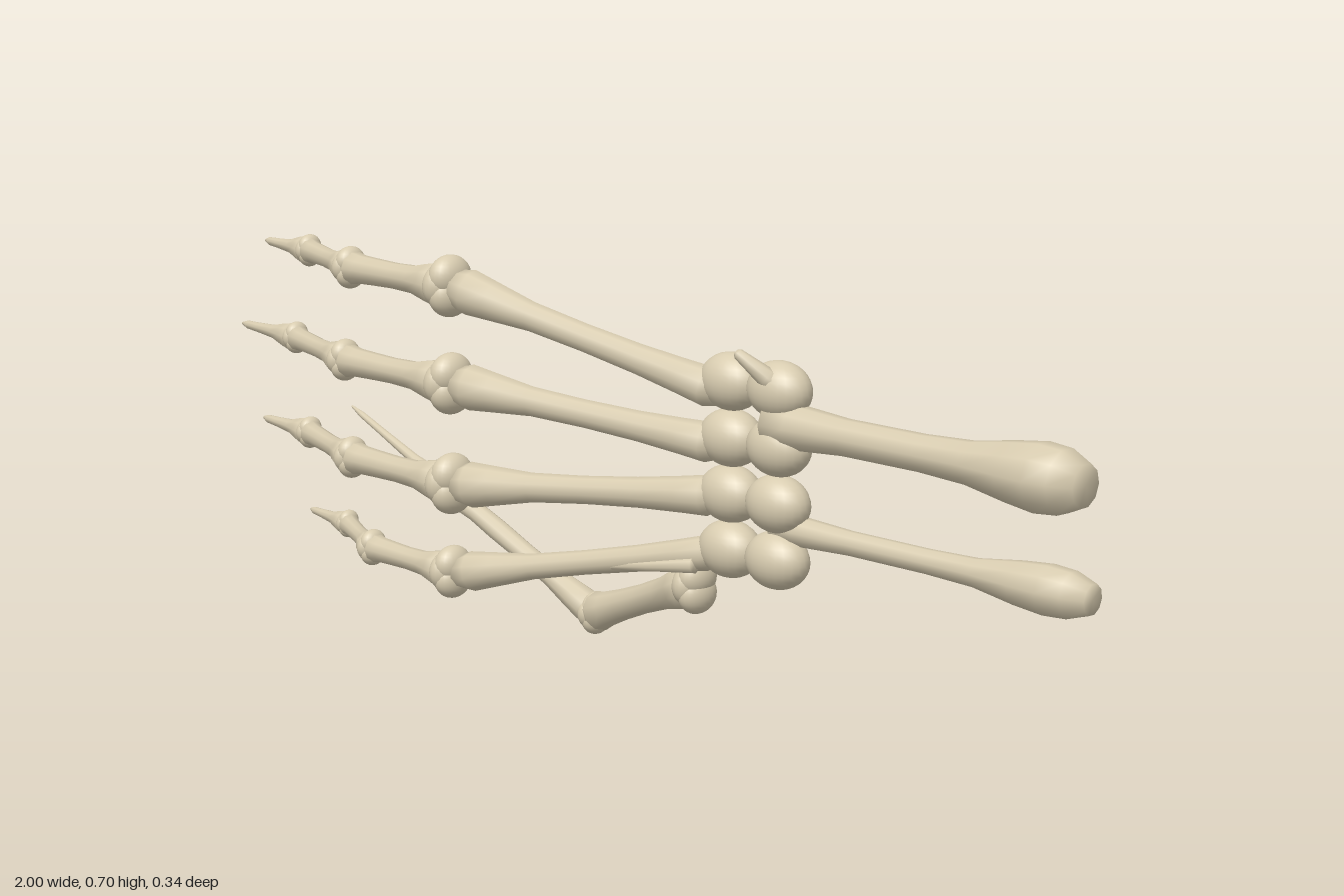
import * as THREE from 'three';

const V = (p) => new THREE.Vector3(...p);
const UP = new THREE.Vector3(0, 1, 0);

export function createModel() {
  const root = new THREE.Group();
  root.name = 'skeletonHand';
  const bone = new THREE.MeshStandardMaterial({ color: 0xd8ccb0 });
  bone.name = 'bone';

  // Lathed bone from a to b; profile is [fraction along, radius]
  function shaft(parent, name, a, b, profile, sides = 10) {
    const dir = V(b).sub(V(a));
    const len = dir.length();
    const pts = profile.map(([t, r]) => new THREE.Vector2(r, t * len));
    pts.unshift(new THREE.Vector2(0, pts[0].y));
    pts.push(new THREE.Vector2(0, pts[pts.length - 1].y));
    const mesh = new THREE.Mesh(new THREE.LatheGeometry(pts, sides), bone);
    mesh.name = name;
    mesh.position.set(...a);
    mesh.quaternion.setFromUnitVectors(UP, dir.normalize());
    parent.add(mesh);
    return mesh;
  }

  function ball(parent, name, p, r) {
    const mesh = new THREE.Mesh(new THREE.SphereGeometry(1, 24, 16), bone);
    mesh.name = name;
    mesh.position.set(...p);
    mesh.scale.set(...r);
    parent.add(mesh);
    return mesh;
  }

  // Joint: a wide middle with a rounded condyle on either side
  function joint(parent, name, [x, y, z], s) {
    const g = new THREE.Group();
    g.name = name;
    ball(g, 'jointBody', [x - s * 0.1, y, z], [s * 0.58, s * 0.8, s * 0.88]);
    for (const k of [-1, 1]) {
      ball(g, 'condyle', [x + s * 0.08, y + k * s * 0.3, z], [s * 0.55, s * 0.7, s * 0.78]);
    }
    parent.add(g);
  }

  // Long bone with flared ends, waist radius w
  const flared = (r0, w, r1) => [
    [0, r0 * 0.7], [0.05, r0], [0.14, r0 * 0.9], [0.3, w * 1.08], [0.5, w],
    [0.7, w * 1.06], [0.85, r1 * 0.86], [0.94, r1], [1, r1 * 0.75],
  ];
  const tipProfile = (r) => [
    [0, r * 0.75], [0.06, r], [0.18, r * 0.85], [0.4, r * 0.5], [0.7, r * 0.36],
    [0.9, r * 0.3], [1, r * 0.1],
  ];

  // Forearm bones, swelling toward the far end
  const forearm = (w, r) => [
    [0, w * 1.3], [0.08, w * 1.25], [0.25, w], [0.5, w], [0.65, w * 1.15],
    [0.78, r * 0.87], [0.87, r], [0.94, r * 0.93], [1, r * 0.62],
  ];
  shaft(root, 'radius', [0.4, 0.49, 0], [1, 0.482, -0.022], forearm(0.03, 0.055));
  shaft(root, 'ulna', [0.4, 0.318, -0.012], [1, 0.305, -0.05], forearm(0.02, 0.04));

  // Two columns of wrist bones
  const wrist = new THREE.Group();
  wrist.name = 'wrist';
  for (const x of [0.305, 0.41]) {
    for (let i = 0; i < 4; i++) {
      ball(wrist, 'wristBone', [x, 0.265 + i * 0.093, -0.003], [0.06, 0.048, 0.044]);
    }
  }
  // Small hooks on the wrist
  shaft(wrist, 'upperHook', [0.43, 0.55, 0.015], [0.365, 0.607, 0.052],
    [[0, 0.012], [0.3, 0.017], [0.7, 0.012], [0.95, 0.009], [1, 0.004]], 8);
  shaft(wrist, 'lowerHook', [0.26, 0.235, 0.035], [0.03, 0.197, 0.07],
    [[0, 0.014], [0.4, 0.01], [1, 0.003]], 8);
  root.add(wrist);

  // Four fingers: wrist height, finger height, joint positions along x
  const fingers = [
    ['indexFinger', 0.525, 0.65, -0.53, -0.76, -0.92, 1],
    ['middleFinger', 0.437, 0.48, -0.55, -0.805, -1, 1],
    ['ringFinger', 0.352, 0.303, -0.535, -0.77, -0.94, 1],
    ['littleFinger', 0.258, 0.145, -0.48, -0.66, -0.8, 0.87],
  ];
  for (const [name, y0, y, x2, x3, x4, s] of fingers) {
    const g = new THREE.Group();
    g.name = name;
    const p1 = [-0.25, y, 0.12], p2 = [x2, y, 0.11], p3 = [x3, y - 0.003, 0.02];
    shaft(g, 'metacarpal', [0.29, y0, 0.005], [-0.235, y, 0.117],
      flared(0.034 * s, 0.024 * s, 0.04 * s));
    joint(g, 'knuckle', p1, 0.054 * s);
    shaft(g, 'proximalBone', [-0.26, y, 0.122], p2, flared(0.038 * s, 0.023 * s, 0.03 * s));
    joint(g, 'middleJoint', p2, 0.038 * s);
    shaft(g, 'middleBone', p2, p3, flared(0.031 * s, 0.018 * s, 0.023 * s));
    joint(g, 'endJoint', p3, 0.03 * s);
    shaft(g, 'fingertip', p3, [x4, y - 0.003, -0.003], tipProfile(0.026 * s));
    root.add(g);
  }

  // Thumb
  const thumb = new THREE.Group();
  thumb.name = 'thumb';
  const t0 = [0.168, 0.167, -0.063], t1 = [-0.155, 0.04, -0.137];
  const t2 = [-0.485, 0.205, -0.1], t3 = [-0.79, 0.33, -0.1];
  joint(thumb, 'thumbBase', t0, 0.05);
  shaft(thumb, 'thumbMetacarpal', t0, t1, flared(0.04, 0.026, 0.036));
  joint(thumb, 'thumbKnuckle', t1, 0.039);
  shaft(thumb, 'thumbProximalBone', t1, t2, flared(0.03, 0.019, 0.022));
  joint(thumb, 'thumbEndJoint', t2, 0.024);
  shaft(thumb, 'thumbTip', t2, t3, tipProfile(0.021));
  root.add(thumb);

  return root;
}
